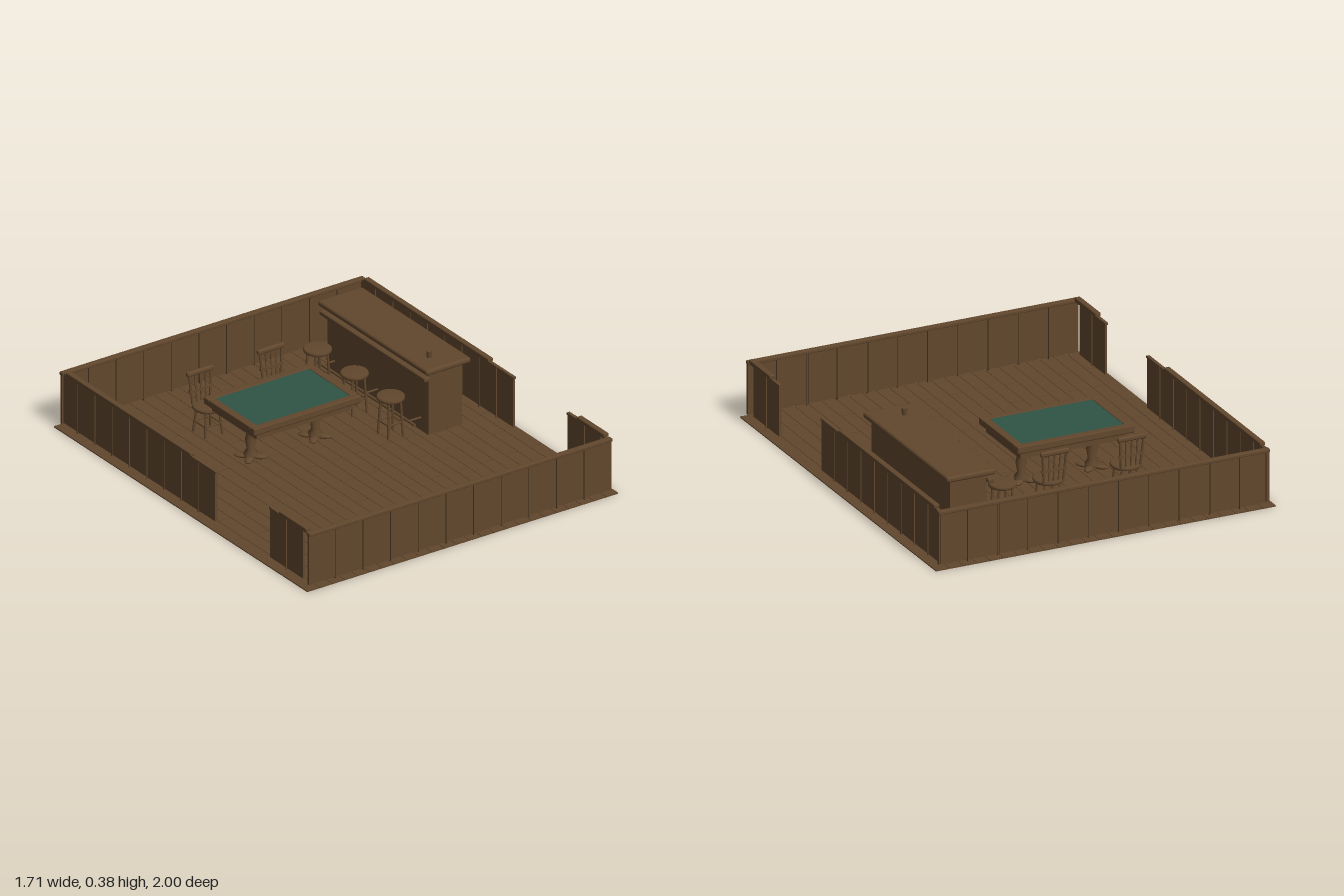
import * as THREE from 'three';
import { RoundedBoxGeometry } from 'three/addons/geometries/RoundedBoxGeometry.js';

const wood = new THREE.MeshStandardMaterial({ color: 0x61472d });
wood.name = 'brown wood';
const felt = new THREE.MeshStandardMaterial({ color: 0x2e5446 });
felt.name = 'green felt';

function add(parent, name, geometry, x, y, z, material = wood) {
  const mesh = new THREE.Mesh(geometry, material);
  mesh.name = name;
  mesh.position.set(x, y, z);
  parent.add(mesh);
  return mesh;
}

// Box given by its low and high corners
function span(parent, name, [x0, y0, z0], [x1, y1, z1], material = wood, round = 0) {
  const w = x1 - x0, h = y1 - y0, d = z1 - z0;
  const geometry = round ? new RoundedBoxGeometry(w, h, d, 3, round) : new THREE.BoxGeometry(w, h, d);
  return add(parent, name, geometry, (x0 + x1) / 2, (y0 + y1) / 2, (z0 + z1) / 2, material);
}

// Round rod between two points
function rod(parent, name, a, b, radius) {
  const from = new THREE.Vector3(...a), to = new THREE.Vector3(...b);
  const dir = to.clone().sub(from);
  const mid = from.clone().add(to).multiplyScalar(0.5);
  const mesh = add(parent, name, new THREE.CylinderGeometry(radius, radius, dir.length(), 8), mid.x, mid.y, mid.z);
  mesh.quaternion.setFromUnitVectors(new THREE.Vector3(0, 1, 0), dir.normalize());
  return mesh;
}

function group(parent, name, x = 0, y = 0, z = 0) {
  const g = new THREE.Group();
  g.name = name;
  g.position.set(x, y, z);
  parent.add(g);
  return g;
}

// Staggered boards with narrow gaps
function buildFloor(root) {
  const floor = group(root, 'floor');
  const columns = 25, width = 1.71 / columns, gap = 0.002;
  for (let i = 0; i < columns; i++) {
    const x = -0.855 + i * width;
    const joints = i % 2 ? [-1, -0.6, -0.2, 0.2, 0.6, 1] : [-1, -0.8, -0.4, 0, 0.4, 0.8, 1];
    for (let j = 0; j < joints.length - 1; j++) {
      span(floor, 'floorBoard', [x + gap / 2, 0, joints[j] + gap], [x + width - gap / 2, 0.005, joints[j + 1] - gap]);
    }
  }
}

// Row of upright panels along local x, with a batten in each gap
function panelRow(parent, from, to, count, y0, y1) {
  const pitch = (to - from) / count;
  for (let i = 0; i < count; i++) {
    const x = from + i * pitch;
    span(parent, 'wallPanel', [x + 0.005, y0, -0.006], [x + pitch - 0.005, y1, 0.006]);
    if (i) span(parent, 'wallBatten', [x - 0.003, y0 - 0.008, -0.009], [x + 0.003, y1 + 0.005, 0.009]);
  }
}

function buildWalls(root) {
  for (const side of [-1, 1]) {
    // Full-width front and back walls
    const wall = group(root, side > 0 ? 'frontWall' : 'backWall', 0, 0, side * 0.972);
    panelRow(wall, -0.835, 0.835, 11, 0.02, 0.266);
    span(wall, 'wallRail', [-0.832, 0.264, -0.014], [0.832, 0.281, 0.014], wood, 0.004);

    // Side walls with a doorway between z = 0.23 and z = 0.66
    const sideWall = group(root, side > 0 ? 'leftWall' : 'rightWall', side * 0.818);
    const panels = group(sideWall, 'sidePanels');
    panels.rotation.y = -Math.PI / 2; // local x runs along +z
    panelRow(panels, -0.99, 0.235, 9, 0.028, 0.275);
    panelRow(panels, 0.655, 0.925, 2, 0.028, 0.275);
    span(sideWall, 'sideRail', [-0.008, 0.27, -0.96], [0.008, 0.28, 0.235]);
    span(sideWall, 'sideRail', [-0.008, 0.27, 0.655], [0.008, 0.28, 0.96]);
    span(sideWall, 'sideCap', [-0.014, 0.279, -0.935], [0.014, 0.296, 0.045], wood, 0.004);
    span(sideWall, 'sideCap', [-0.014, 0.279, 0.74], [0.014, 0.296, 0.955], wood, 0.004);
  }
}

function buildCounter(root) {
  const counter = group(root, 'barCounter');
  span(counter, 'counterBody', [0.48, 0.005, -0.755], [0.665, 0.322, 0.04]);
  span(counter, 'counterTop', [0.45, 0.32, -0.79], [0.695, 0.348, 0.07], wood, 0.011);
  span(counter, 'counterMoulding', [0.452, 0.278, -0.78], [0.484, 0.3, 0.05], wood, 0.006);
  // Foot rail on short brackets
  rod(counter, 'footRail', [0.412, 0.07, -0.75], [0.412, 0.07, 0.03], 0.007);
  for (const z of [-0.7, -0.36, -0.02]) rod(counter, 'footRailBracket', [0.412, 0.07, z], [0.485, 0.07, z], 0.005);
  add(counter, 'cup', new THREE.CylinderGeometry(0.014, 0.011, 0.034, 16), 0.54, 0.364, -0.04);
}

// Four splayed legs and a ring of rungs
function legs(parent, top, foot, height, rungHeight) {
  const at = (i, y) => {
    const r = foot + (top - foot) * (y / height);
    const a = Math.PI / 4 + i * Math.PI / 2;
    return [r * Math.cos(a), y, r * Math.sin(a)];
  };
  for (let i = 0; i < 4; i++) {
    rod(parent, 'leg', at(i, 0.006), at(i, height), 0.006);
    rod(parent, 'rung', at(i, rungHeight), at(i + 1, rungHeight), 0.004);
  }
}

function seat(parent, radius, y, thickness) {
  const h = thickness / 2, c = thickness * 0.25;
  const profile = [[0, -h], [radius - c, -h], [radius, -h + c], [radius, h - c], [radius - c, h], [0, h]];
  add(parent, 'seat', new THREE.LatheGeometry(profile.map(p => new THREE.Vector2(...p)), 28), 0, y, 0);
}

function buildStools(root) {
  for (const z of [-0.635, -0.345, -0.06]) {
    const stool = group(root, 'barStool', 0.342, 0, z);
    seat(stool, 0.065, 0.197, 0.02);
    legs(stool, 0.045, 0.058, 0.19, 0.075);
  }
}

function buildChairs(root) {
  for (const x of [-0.32, 0.068]) {
    const chair = group(root, 'chair', x, 0, -0.55);
    seat(chair, 0.072, 0.14, 0.018);
    legs(chair, 0.05, 0.068, 0.135, 0.06);
    // Spindle back
    for (let i = -2; i <= 2; i++) {
      rod(chair, 'backSpindle', [i * 0.024, 0.138, -0.05], [i * 0.03, 0.285, -0.062], Math.abs(i) === 2 ? 0.006 : 0.004);
    }
    span(chair, 'backRail', [-0.073, 0.278, -0.073], [0.073, 0.303, -0.052], wood, 0.009);
    span(chair, 'lowerBackRail', [-0.062, 0.198, -0.062], [0.062, 0.21, -0.05]);
  }
}

function buildTable(root) {
  const table = group(root, 'gameTable');
  span(table, 'tableApron', [-0.395, 0.195, -0.41], [0.14, 0.232, -0.06]);
  span(table, 'tableTop', [-0.425, 0.228, -0.435], [0.165, 0.256, -0.035], wood, 0.008);
  span(table, 'feltSurface', [-0.387, 0.254, -0.396], [0.127, 0.26, -0.071], felt);
  // Slim lip framing the felt
  for (const [x0, x1, z0, z1] of [[-0.425, 0.165, -0.435, -0.396], [-0.425, 0.165, -0.071, -0.035],
    [-0.425, -0.387, -0.396, -0.071], [0.127, 0.165, -0.396, -0.071]]) {
    span(table, 'tableFrame', [x0, 0.245, z0], [x1, 0.264, z1], wood, 0.004);
  }
  // Two turned pedestals with four rounded feet each
  const profile = [[0.03, 0.01], [0.034, 0.03], [0.018, 0.05], [0.026, 0.1], [0.016, 0.15], [0.034, 0.2]];
  for (const x of [-0.305, 0.05]) {
    const pedestal = group(table, 'pedestal', x, 0, -0.235);
    add(pedestal, 'column', new THREE.LatheGeometry(profile.map(p => new THREE.Vector2(...p)), 20), 0, 0, 0);
    for (let i = 0; i < 4; i++) {
      const a = Math.PI / 4 + i * Math.PI / 2;
      const foot = add(pedestal, 'foot', new THREE.SphereGeometry(1, 16, 10), 0.04 * Math.cos(a), 0.015, 0.04 * Math.sin(a));
      foot.scale.set(0.038, 0.011, 0.02);
      foot.rotation.y = -a;
    }
  }
}

export function createModel() {
  const root = new THREE.Group();
  root.name = 'barRoom';
  buildFloor(root);
  buildWalls(root);
  buildCounter(root);
  buildStools(root);
  buildChairs(root);
  buildTable(root);
  return root;
}
